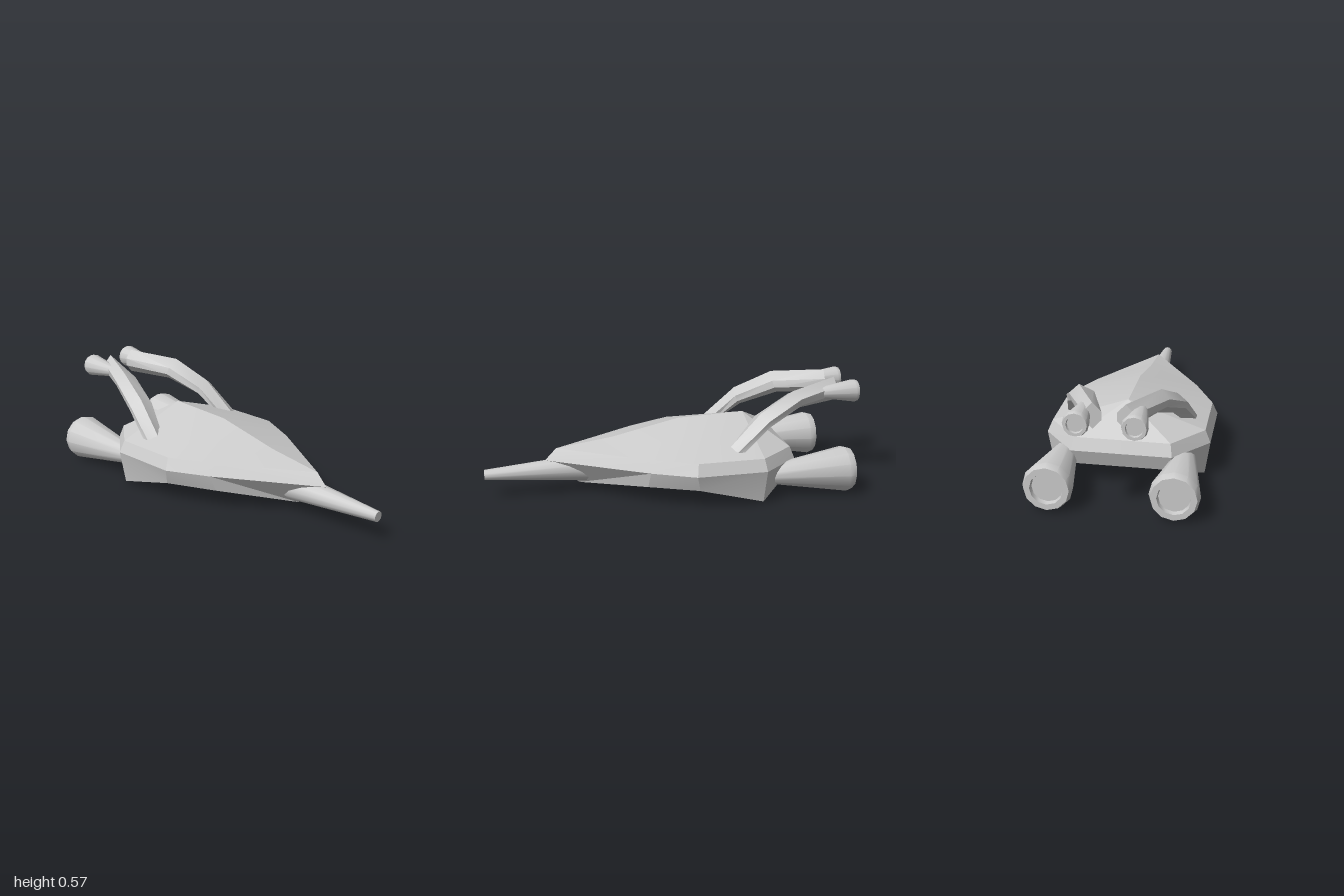
import * as THREE from 'three';
import { toCreasedNormals } from 'three/addons/utils/BufferGeometryUtils.js';

const material = new THREE.MeshStandardMaterial({ color: 0xcccccc });

function mesh(name, geometry, crease) {
  const m = new THREE.Mesh(toCreasedNormals(geometry, crease), material);
  m.name = name;
  return m;
}

function fromTriangles(points) {
  const g = new THREE.BufferGeometry();
  g.setAttribute('position', new THREE.Float32BufferAttribute(points.flat(), 3));
  return g;
}

// Faceted hull: three half outlines from nose to tail, mirrored across x = 0
function hull() {
  const deck = [[0, 0.25, 0.62], [0.28, 0.25, 0.17], [0.39, 0.25, -0.06], [0.39, 0.25, -0.41], [0.24, 0.25, -0.595], [0, 0.25, -0.595]];
  const waist = [[0, 0.187, 0.68], [0.31, 0.187, 0.17], [0.417, 0.187, -0.05], [0.417, 0.187, -0.42], [0.25, 0.187, -0.62], [0, 0.187, -0.62]];
  const keel = [[0, 0.048, 0.5], [0.28, 0.102, 0.18], [0.39, 0.102, -0.07], [0.39, 0.012, -0.41], [0.24, 0.105, -0.59], [0, 0.105, -0.59]];
  const belly = [0, 0.1, -0.1];
  const ridge = [[0, 0.292, 0.32], [0, 0.372, -0.04], [0, 0.385, -0.4]];

  const points = [];
  const flip = ([x, y, z]) => [-x, y, z];
  const tri = (a, b, c) => points.push(a, b, c, flip(c), flip(b), flip(a));
  const quad = (a, b, c, d) => { tri(a, b, c); tri(a, c, d); };

  for (let i = 0; i < 5; i++) {
    quad(waist[i], waist[i + 1], deck[i + 1], deck[i]);
    quad(keel[i], keel[i + 1], waist[i + 1], waist[i]);
    tri(belly, keel[i + 1], keel[i]);
  }
  // deck panels rising to the centre ridge
  const [n, a, b, c, d, e] = deck;
  const [r0, r1, r2] = ridge;
  tri(n, a, r0);
  tri(a, r1, r0);
  tri(a, b, r1);
  tri(b, r2, r1);
  tri(b, c, r2);
  tri(c, d, r2);
  tri(d, e, r2);
  return mesh('hull', fromTriangles(points), 0.2);
}

// Turned part along z: profile is [radius, distance towards the rear]
function turned(name, profile, x, y) {
  const g = new THREE.LatheGeometry(profile.map(p => new THREE.Vector2(...p)), 12);
  g.rotateX(-Math.PI / 2);
  const m = mesh(name, g, 0.6);
  m.position.set(x, y, 0);
  return m;
}

// Cone with a bevelled rim and a shallow recess in its rear end
function thruster(name, x, y, front, rFront, rear, r) {
  return turned(name, [
    [0, front], [rFront, front], [r, rear - r * 0.3], [r * 0.9, rear],
    [r * 0.66, rear], [r * 0.62, rear - r * 0.2], [0, rear - r * 0.2],
  ], x, y);
}

// Curved hexagonal arm lofted through four sections
function arm(name, s) {
  const sections = [ // centre, half-width vector, half-height vector
    [[0.283, 0.268, -0.295], [0.05, 0, -0.005], [0, 0.012, 0.045]],
    [[0.24, 0.4, -0.44], [0.06, 0, -0.02], [0.01, 0.046, 0.015]],
    [[0.178, 0.488, -0.635], [0.057, 0, -0.02], [0.02, 0.056, 0.012]],
    [[0.077, 0.505, -0.89], [0.041, 0, -0.005], [0, 0.065, 0]],
  ];
  const hex = [[0, 1], [1, 0.33], [1, -0.33], [0, -1], [-1, -0.33], [-1, 0.33]];
  const rings = sections.map(([c, w, h]) => hex.map(([p, q]) =>
    c.map((v, k) => (v + p * w[k] + q * h[k]) * (k === 0 ? s : 1))));

  const points = [];
  const tri = (a, b, c) => points.push(...(s > 0 ? [a, b, c] : [c, b, a]));
  for (let i = 0; i < 3; i++) {
    for (let j = 0; j < 6; j++) {
      const k = (j + 1) % 6;
      const [a, b, c, d] = [rings[i][j], rings[i][k], rings[i + 1][k], rings[i + 1][j]];
      tri(a, b, c);
      tri(a, c, d);
    }
  }
  for (let j = 1; j < 5; j++) {
    tri(rings[0][0], rings[0][j + 1], rings[0][j]);
    tri(rings[3][0], rings[3][j], rings[3][j + 1]);
  }
  return mesh(name, fromTriangles(points), 0.5);
}

export function createModel() {
  const model = new THREE.Group();
  model.name = 'spacecraft';
  model.add(hull());
  model.add(turned('noseCannon', [[0, -1], [0.027, -1], [0.073, -0.46], [0, -0.4]], 0, 0.132));

  for (const [side, s] of [['left', 1], ['right', -1]]) {
    model.add(thruster(side + 'MainEngine', s * 0.3, 0.124, -(-0.42), 0.042, 0.915, 0.122));
    model.add(arm(side + 'Arm', s));
    model.add(thruster(side + 'ArmThruster', s * 0.133, 0.503, 0.76, 0.025, 1, 0.062));
  }
  return model;
}
